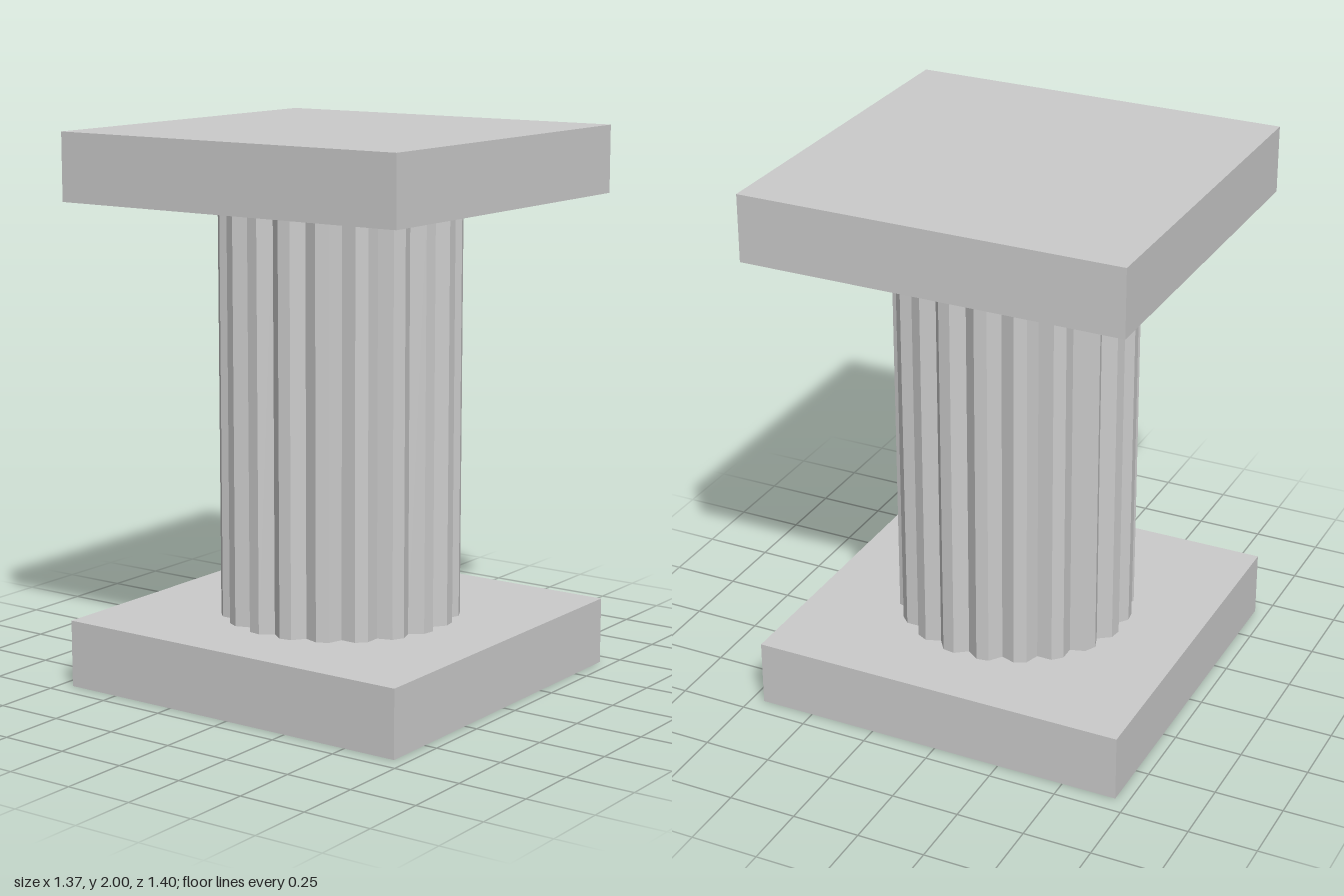
import * as THREE from 'three';

const SLAB = { w: 1.366, h: 0.245, d: 1.404 };
const FLUTES = 20, RIDGE = 0.436, VALLEY = 0.4;

// Cylinder with three sides per flute: every third corner is pulled in to a groove
function flutedShaft(y0, y1) {
  const rings = [ // top ring first: height and ridge radius, ridges bevelled at the top
    [y1, 0.424],
    [y1 - 0.015, RIDGE],
    [y0, RIDGE],
  ];
  const sides = FLUTES * 3;
  const geo = new THREE.CylinderGeometry(1, 1, 1, sides, rings.length - 1, true);
  const pos = geo.attributes.position;
  for (let i = 0; i < pos.count; i++) {
    const col = i % (sides + 1);
    const [y, ridge] = rings[Math.floor(i / (sides + 1))];
    const r = col % 3 === 0 ? VALLEY : ridge;
    const a = (col / sides) * Math.PI * 2;
    pos.setXYZ(i, r * Math.sin(a), y, r * Math.cos(a));
  }
  geo.computeVertexNormals();
  return geo;
}

export function createModel() {
  const group = new THREE.Group();
  group.name = 'column';
  const mat = new THREE.MeshStandardMaterial({ color: 0xcccccc, flatShading: true });

  const add = (name, geo, y = 0) => {
    const mesh = new THREE.Mesh(geo, mat);
    mesh.name = name;
    mesh.position.y = y;
    group.add(mesh);
  };

  // Matching square slabs below and above the shaft
  const slab = new THREE.BoxGeometry(SLAB.w, SLAB.h, SLAB.d);
  add('baseSlab', slab, SLAB.h / 2);
  add('topSlab', slab, 2 - SLAB.h / 2);

  // Fluted shaft between the slabs
  add('flutedShaft', flutedShaft(SLAB.h, 2 - SLAB.h));
  return group;
}
